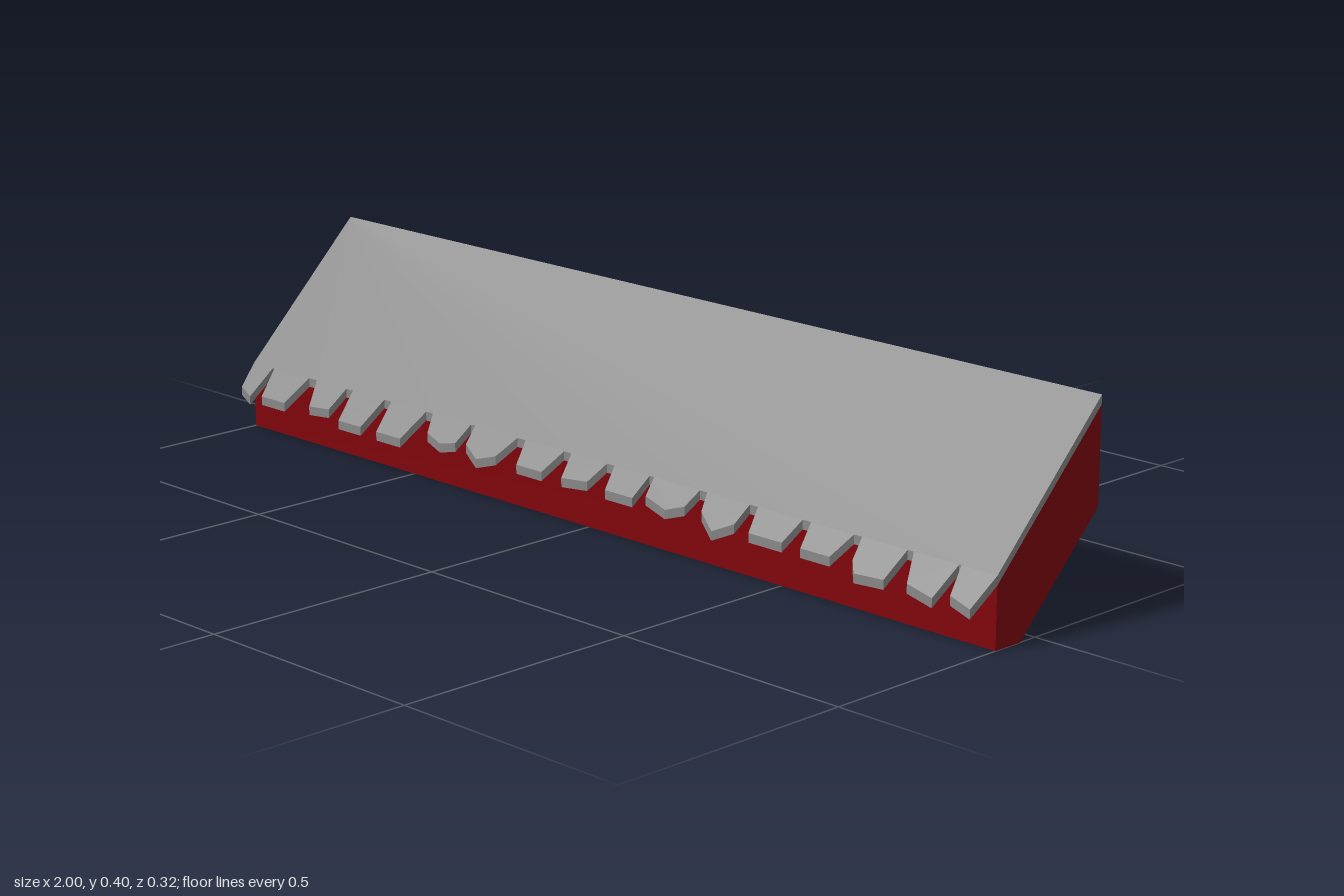
import * as THREE from 'three';

const BACK = -0.162, FRONT = 0.105;
const SHEET = 0.018, CREST = 0.24; // top of the sheet lies on y + z = CREST

const grey = new THREE.MeshStandardMaterial({ color: 0x888888 });
const red = new THREE.MeshStandardMaterial({ color: 0x80050c });

// Each tooth of the ragged eave: left root x, then (x, z) tip points, then right root x
const TEETH = [
  [-1, -0.99, 0.147, -0.95, 0.158, -0.938],
  [-0.934, -0.918, 0.153, -0.845, 0.153, -0.822],
  [-0.798, -0.773, 0.147, -0.716, 0.143, -0.705],
  [-0.685, -0.672, 0.155, -0.604, 0.155, -0.588],
  [-0.567, -0.556, 0.155, -0.484, 0.155, -0.462],
  [-0.442, -0.425, 0.135, -0.378, 0.145, -0.34, 0.138, -0.33],
  [-0.318, -0.312, 0.135, -0.265, 0.152, -0.222, 0.14, -0.197],
  [-0.174, -0.16, 0.143, -0.09, 0.143, -0.067],
  [-0.047, -0.035, 0.143, 0.03, 0.138, 0.05],
  [0.07, 0.082, 0.142, 0.155, 0.142, 0.163],
  [0.175, 0.182, 0.134, 0.243, 0.145, 0.282, 0.133, 0.294],
  [0.312, 0.325, 0.133, 0.372, 0.155, 0.412, 0.137, 0.42],
  [0.44, 0.453, 0.143, 0.535, 0.143, 0.55],
  [0.57, 0.58, 0.143, 0.65, 0.143, 0.673],
  [0.692, 0.7, 0.138, 0.718, 0.155, 0.785, 0.152, 0.798],
  [0.812, 0.835, 0.148, 0.9, 0.157, 0.915],
  [0.92, 0.932, 0.147, 0.985, 0.157, 1],
];

// Extrudes a (z, y) profile along x, centred on x
function extrudeAlongX(name, profile, width, x) {
  const shape = new THREE.Shape(profile.map(([z, y]) => new THREE.Vector2(z, y)));
  const geo = new THREE.ExtrudeGeometry(shape, { depth: width, bevelEnabled: false });
  geo.translate(0, 0, -width / 2).rotateY(-Math.PI / 2);
  const mesh = new THREE.Mesh(geo, red);
  mesh.name = name;
  mesh.position.x = x;
  return mesh;
}

// Sloping sheet with a ragged lower edge, cut vertically and sheared to 45 degrees
function makeSheet() {
  const shape = new THREE.Shape();
  shape.moveTo(1, BACK);
  shape.lineTo(-1, BACK);
  for (const t of TEETH) {
    shape.lineTo(t[0], FRONT);
    for (let i = 1; i < t.length - 1; i += 2) shape.lineTo(t[i], t[i + 1]);
    shape.lineTo(t[t.length - 1], FRONT);
  }
  const geo = new THREE.ExtrudeGeometry(shape, { depth: SHEET, bevelEnabled: false });
  geo.rotateX(Math.PI / 2);
  const p = geo.attributes.position;
  for (let i = 0; i < p.count; i++) p.setY(i, p.getY(i) + CREST - p.getZ(i));
  geo.computeVertexNormals();
  const mesh = new THREE.Mesh(geo, grey);
  mesh.name = 'roofSheet';
  return mesh;
}

export function createModel() {
  const group = new THREE.Group();
  group.name = 'raggedAwning';
  group.add(makeSheet());

  // Solid sloping board under the sheet
  const under = CREST - SHEET;
  group.add(extrudeAlongX('slopingBoard', [
    [FRONT, 0], [FRONT, under - FRONT], [BACK, under - BACK], [BACK, FRONT - BACK],
  ], 2, 0));

  // Six ribs on the underside
  const ribs = new THREE.Group();
  ribs.name = 'ribs';
  for (const side of [-1, 1]) {
    for (const x of [0.967, 0.605, 0.203]) {
      ribs.add(extrudeAlongX('rib', [
        [FRONT, 0], [BACK, FRONT - BACK], [BACK, 0.2], [0.04, 0],
      ], 0.066, side * x));
    }
  }
  group.add(ribs);
  return group;
}
